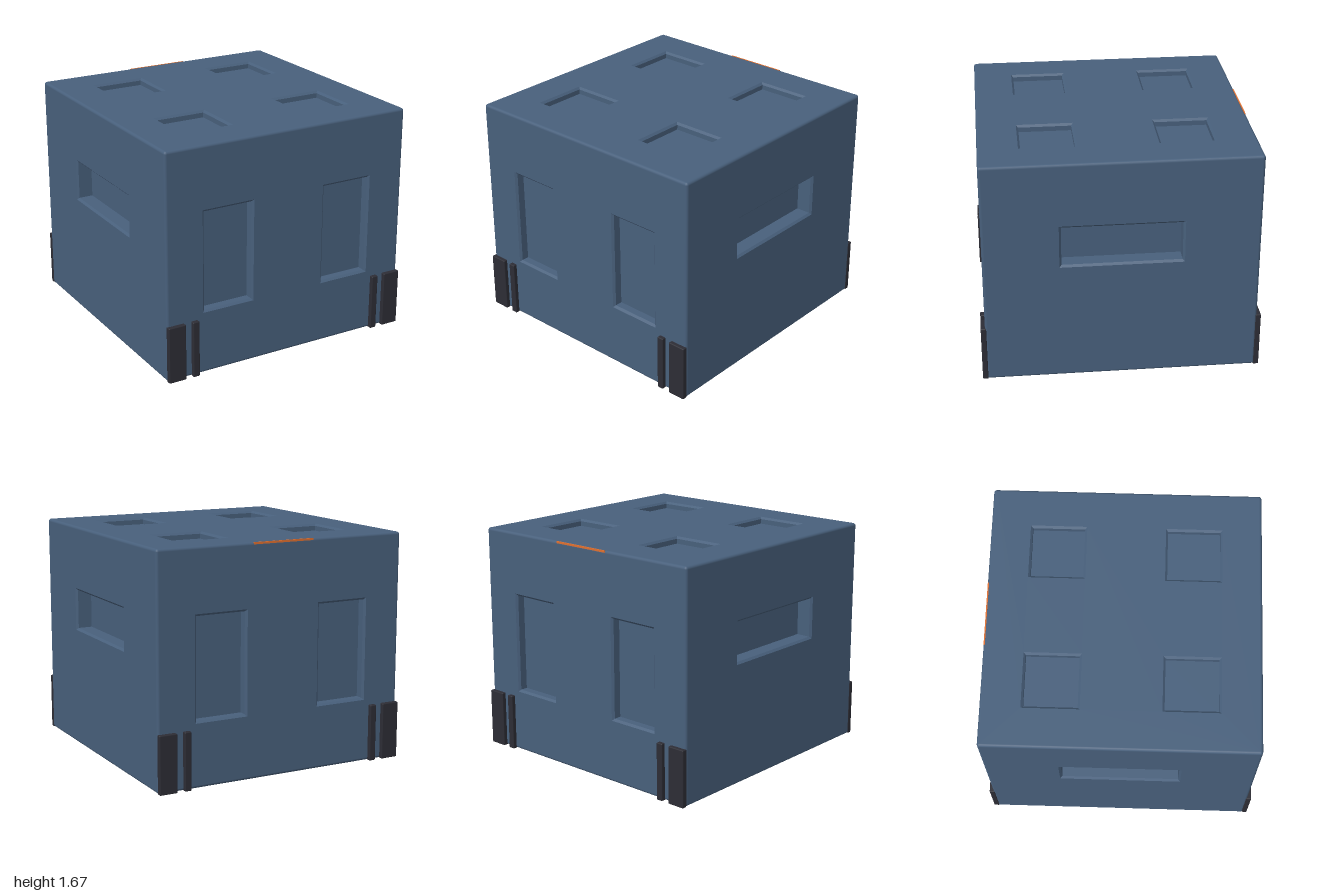
import * as THREE from 'three';
import { mergeGeometries } from 'three/addons/utils/BufferGeometryUtils.js';
import { RoundedBoxGeometry } from 'three/addons/geometries/RoundedBoxGeometry.js';

const HALF = 0.97, H = 1.67, R = 0.02, RIM = 0.015;

const shellBlue = new THREE.MeshStandardMaterial({ color: 0x48607c });
const postDark = new THREE.MeshStandardMaterial({ color: 0x2d2d35 });
const plateOrange = new THREE.MeshStandardMaterial({ color: 0xe07030 });

function mesh(name, geometry, material) {
  const m = new THREE.Mesh(geometry, material);
  m.name = name;
  return m;
}

// Corners of a rectangle, counter-clockwise
const rect = (cx, cy, w, h, z = 0) =>
  [[-1, -1], [1, -1], [1, 1], [-1, 1]].map(([a, b]) => [cx + a * w / 2, cy + b * h / 2, z]);

// Chamfered rim, straight walls and floor of a recess
function recessGeometry([cx, cy, w, h], depth) {
  const rings = [
    rect(cx, cy, w + 2 * RIM, h + 2 * RIM),
    rect(cx, cy, w, h, -RIM),
    rect(cx, cy, w, h, -depth),
  ];
  const pos = [];
  const quad = (a, b, c, d) => pos.push(...a, ...b, ...c, ...a, ...c, ...d);
  for (let r = 0; r < 2; r++) {
    for (let i = 0; i < 4; i++) {
      const j = (i + 1) % 4;
      quad(rings[r][i], rings[r][j], rings[r + 1][j], rings[r + 1][i]);
    }
  }
  quad(...rings[2]);
  const g = new THREE.BufferGeometry();
  g.setAttribute('position', new THREE.Float32BufferAttribute(pos, 3));
  g.computeVertexNormals();
  return g;
}

// Flat wall with recesses, facing +z and centred on the origin
function wall(name, w, h, recesses, depth) {
  const group = new THREE.Group();
  group.name = name;
  const toPoints = (c) => c.map(([x, y]) => new THREE.Vector2(x, y));
  const shape = new THREE.Shape(toPoints(rect(0, 0, w - 2 * R, h - 2 * R)));
  for (const [cx, cy, rw, rh] of recesses) {
    shape.holes.push(new THREE.Path(toPoints(rect(cx, cy, rw + 2 * RIM, rh + 2 * RIM)).reverse()));
  }
  group.add(mesh(name + 'Panel', new THREE.ShapeGeometry(shape), shellBlue));
  for (const r of recesses) group.add(mesh(name + 'Recess', recessGeometry(r, depth), shellBlue));
  return group;
}

// Rounded edges and corners joining the six walls
function edgesGeometry() {
  const parts = [];
  const a = HALF - R, b = H / 2 - R;
  for (const s of [-1, 1]) {
    for (const t of [-1, 1]) {
      parts.push(new THREE.CylinderGeometry(R, R, 2 * b, 16, 1, true).translate(s * a, 0, t * a));
      parts.push(new THREE.CylinderGeometry(R, R, 2 * a, 16, 1, true).rotateZ(Math.PI / 2).translate(0, s * b, t * a));
      parts.push(new THREE.CylinderGeometry(R, R, 2 * a, 16, 1, true).rotateX(Math.PI / 2).translate(s * a, t * b, 0));
      for (const u of [-1, 1]) parts.push(new THREE.SphereGeometry(R, 16, 8).translate(s * a, u * b, t * a));
    }
  }
  return mergeGeometries(parts).translate(0, H / 2, 0);
}

export function createModel() {
  const model = new THREE.Group();
  model.name = 'buildingBlock';

  // Doors at front and back, one slot window per side, four hatches on top
  const doors = [-0.485, 0.485].map((x) => [x, 0.837 - H / 2, 0.375, 0.725]);
  const slot = [[0, 1.045 - H / 2, 0.845, 0.29]];
  const hatches = [];
  for (const x of [-0.485, 0.485]) for (const z of [-0.485, 0.485]) hatches.push([x, z, 0.375, 0.375]);

  const W = 2 * HALF;
  const walls = [
    ['frontWall', H, doors, 0.07, [0, H / 2, HALF], 0, 0],
    ['backWall', H, doors, 0.07, [0, H / 2, -HALF], 0, Math.PI],
    ['leftWall', H, slot, 0.12, [HALF, H / 2, 0], 0, Math.PI / 2],
    ['rightWall', H, slot, 0.12, [-HALF, H / 2, 0], 0, -Math.PI / 2],
    ['roof', W, hatches, 0.05, [0, H, 0], -Math.PI / 2, 0],
    ['floor', W, [], 0, [0, 0, 0], Math.PI / 2, 0],
  ];
  for (const [name, h, recesses, depth, position, rx, ry] of walls) {
    const g = wall(name, W, h, recesses, depth);
    g.position.set(...position);
    g.rotation.set(rx, ry, 0);
    model.add(g);
  }
  model.add(mesh('roundedEdges', edgesGeometry(), shellBlue));

  // Wide and narrow corner posts on front and back
  for (const sx of [-1, 1]) {
    for (const sz of [-1, 1]) {
      for (const [name, x, w] of [['widePost', 0.903, 0.134], ['narrowPost', 0.755, 0.05]]) {
        const post = mesh(name, new RoundedBoxGeometry(w, 0.418, 0.04, 2, 0.007), postDark);
        post.position.set(sx * x, 0.209, sz * 0.98);
        model.add(post);
      }
    }
  }

  // Plate set into the upper back edge
  const plate = mesh('backPlate', new THREE.BoxGeometry(0.47, 0.34, 0.009), plateOrange);
  plate.position.set(0, 1.4995, -0.9645);
  model.add(plate);

  return model;
}
